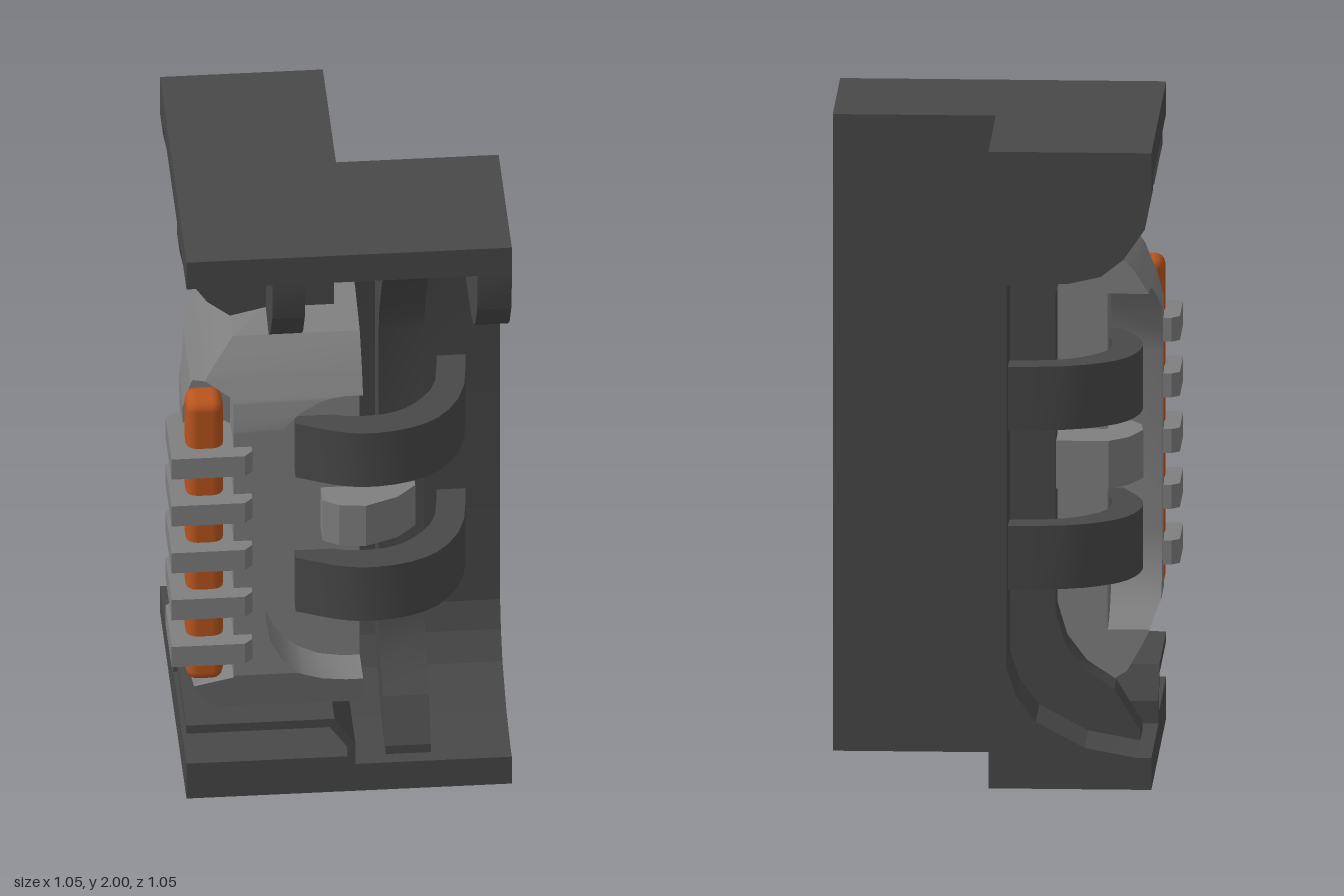
import * as THREE from 'three';
import { toCreasedNormals } from 'three/addons/utils/BufferGeometryUtils.js';
import { RoundedBoxGeometry } from 'three/addons/geometries/RoundedBoxGeometry.js';

const mat = (name, color) => {
  const m = new THREE.MeshStandardMaterial({ color });
  m.name = name;
  return m;
};

const shapeOf = (pts) => new THREE.Shape(pts.map(([a, b]) => new THREE.Vector2(a, b)));
const extrude = (pts, depth) => new THREE.ExtrudeGeometry(shapeOf(pts), { depth, bevelEnabled: false });

// profile of [z, y] points swept along x
const sweepX = (pts, x0, x1) =>
  extrude(pts.map(([z, y]) => [-z, y]), x1 - x0).rotateY(Math.PI / 2).translate(x0, 0, 0);
// plan of [x, z] points raised along y
const raiseY = (pts, y0, y1) =>
  extrude(pts.map(([x, z]) => [x, -z]), y1 - y0).rotateX(-Math.PI / 2).translate(0, y0, 0);

// reflection over the diagonal: (x, z) -> (-z, -x), with corner order restored
function mirrored(geo) {
  const g = geo.clone();
  const p = g.attributes.position;
  const v = new THREE.Vector3();
  const src = geo.attributes.position;
  for (let i = 0; i < p.count; i++) {
    const j = i % 3 === 0 ? i : i % 3 === 1 ? i + 1 : i - 1;
    v.fromBufferAttribute(src, j);
    p.setXYZ(i, -v.z, v.y, -v.x);
  }
  return g;
}

function interp(table, y) {
  for (let i = 1; i < table.length; i++) {
    const [y0, z0] = table[i - 1], [y1, z1] = table[i];
    if (y <= y1) return z0 + (z1 - z0) * Math.max(0, (y - y0) / (y1 - y0));
  }
  return table[table.length - 1][1];
}

// half of the corner body: plan cross-sections stacked up, with lamp notch and side recess
function bodyHalf() {
  const profile = [[0.24, 0.33], [0.27, 0.38], [0.36, 0.43], [0.45, 0.475], [1.36, 0.475],
    [1.45, 0.45], [1.53, 0.4], [1.61, 0.32], [1.65, 0.15], [1.651, 0.03]];
  const notch = [[0.39, 0.48], [0.44, 0.33], [1.46, 0.33], [1.52, 0.43], [1.53, 0.5]];
  const mid = 0.9275, half = 0.5275, r = 0.25, end = 0.07;
  const ys = [...profile.map((p) => p[0]), 0.40, 0.44, 1.46, 1.51];
  for (let k = 0; k <= 5; k++) {
    const d = half - r + r * Math.sin((k / 5) * Math.PI / 2) - 1e-5;
    ys.push(mid + d, mid - d);
  }
  ys.push(mid + half + 1e-5, mid - half - 1e-5);
  ys.sort((a, b) => a - b);
  const rows = ys.map((y) => {
    const z = interp(profile, y);
    const n = y < 0.39 || y > 1.53 ? z : Math.min(z, interp(notch, y));
    const off = Math.abs(y - mid);
    const inside = off < half;
    const d = Math.max(0, off - (half - r));
    const xr = inside ? -0.23 + r - Math.sqrt(Math.max(0, r * r - d * d)) : end;
    const zr = inside ? 0.32 : z;
    return [[-n, y, n], [-n, y, z], [xr, y, z], [xr, y, zr], [end, y, zr], [end, y, 0]];
  });
  const pos = [];
  for (let i = 0; i + 1 < rows.length; i++) {
    for (let j = 0; j < 5; j++) {
      const a = rows[i][j], b = rows[i][j + 1], c = rows[i + 1][j + 1], d = rows[i + 1][j];
      pos.push(...a, ...b, ...c, ...a, ...c, ...d);
    }
  }
  const g = new THREE.BufferGeometry();
  g.setAttribute('position', new THREE.Float32BufferAttribute(pos, 3));
  return g;
}

// wall arm with base, top slab and coves, mitred on the diagonal
function wallHalf() {
  const g = sweepX([[-0.025, 0], [0.475, 0], [0.475, 0.1], [0.43, 0.1], [0.27, 0.13], [0.12, 0.21],
    [0.06, 0.29], [0.03, 0.38], [0.03, 1.6], [0.06, 1.72], [0.13, 1.82], [0.25, 1.9],
    [0.475, 1.9], [0.475, 2], [-0.025, 2]], -0.5, 0.525);
  const p = g.attributes.position;
  for (let i = 0; i < p.count; i++) if (p.getX(i) < 0) p.setX(i, -p.getZ(i));
  return g;
}

export function createModel() {
  const model = new THREE.Group();
  model.name = 'cornerWallUnit';
  const dark = mat('dark metal', 0x484848);
  const grey = mat('grey metal', 0x7f7f7f);
  const orange = mat('orange lamp', 0xb9541e);

  const addOne = (name, geo, material) => {
    const mesh = new THREE.Mesh(geo, material);
    mesh.name = name;
    model.add(mesh);
  };
  const prep = (geo) => {
    const g = geo.index ? geo.toNonIndexed() : geo;
    g.deleteAttribute('normal');
    g.deleteAttribute('uv');
    g.clearGroups();
    return g;
  };
  // each part is made on the front arm and repeated on the side arm
  const addPair = (name, geo, material, crease = 0.4) => {
    const g = prep(geo);
    addOne(name + 'Front', toCreasedNormals(g, crease), material);
    addOne(name + 'Side', toCreasedNormals(mirrored(g), crease), material);
  };

  addPair('wall', wallHalf(), dark, 0.3);
  addPair('body', bodyHalf(), grey);

  // hanging brackets under the top slab
  const bracket = [[0, 1.92], [0, 1.58], [0.03, 1.58], [0.22, 1.587], [0.32, 1.61],
    [0.39, 1.665], [0.455, 1.76], [0.475, 1.86], [0.475, 1.92]];
  addPair('endBracket', sweepX(bracket, 0.42, 0.525), dark, 0.2);
  addPair('innerBracket', sweepX(bracket, -0.21, -0.11), dark, 0.2);

  // upright rib curving out at foot and head
  addPair('rib', sweepX([[0, 0.09], [0.43, 0.09], [0.43, 0.13], [0.35, 0.26], [0.26, 0.32],
    [0.2, 0.4], [0.17, 0.5], [0.17, 1.5], [0.2, 1.6], [0.27, 1.72], [0.4, 1.91], [0, 1.91]],
    0.14, 0.28), dark);

  // curved clamps reaching from the recess back to the wall
  const curve = (pts) => new THREE.SplineCurve(pts.map(([a, b]) => new THREE.Vector2(a, b)))
    .getPoints(14).map((v) => [v.x, v.y]);
  const clamp = [
    ...curve([[-0.13, 0.36], [0, 0.415], [0.1, 0.43], [0.22, 0.41], [0.32, 0.35], [0.395, 0.22], [0.42, 0.02]]),
    ...curve([[0.33, 0.02], [0.31, 0.18], [0.25, 0.27], [0.18, 0.32], [0.09, 0.335], [0, 0.325], [-0.13, 0.27]]),
  ];
  for (const y of [0.6, 1.1]) addPair('clamp', raiseY(clamp, y, y + 0.2), dark);

  // latch block between the clamps
  addPair('latch', raiseY([[-0.05, 0.1], [-0.05, 0.39], [0, 0.42], [0.08, 0.43], [0.18, 0.39],
    [0.24, 0.33], [0.24, 0.1]], 0.88, 1.03), grey);

  // folded foot cover, its floor plate and the core behind it
  const cover = [[-0.475, 0.272], [-0.02, 0.272], [0.045, 0.17], [0.045, 0.1], [0.02, 0.1],
    [0.02, 0.165], [-0.035, 0.242], [-0.475, 0.242]];
  addPair('footCover', extrude(cover, 0.325).translate(0, 0, 0.15), dark);
  addPair('footPlate', new THREE.BoxGeometry(0.52, 0.05, 0.325).translate(-0.215, 0.105, 0.3125), dark);
  addPair('footCore', new THREE.BoxGeometry(0.32, 0.17, 0.3).translate(-0.14, 0.175, 0.15), dark);

  // corner lamp with guard rings
  addOne('lamp', new RoundedBoxGeometry(0.115, 1.04, 0.115, 2, 0.035).translate(-0.4175, 0.95, 0.4175), orange);
  const ring = [[-0.525, 0.525], [-0.3, 0.525], [-0.275, 0.5], [-0.275, 0.4], [-0.4, 0.275],
    [-0.5, 0.275], [-0.525, 0.3]];
  for (let i = 0; i < 5; i++) {
    const y = 0.565 + i * 0.175;
    addOne('lampGuard', toCreasedNormals(prep(raiseY(ring, y - 0.0375, y + 0.0375)), 0.3), grey);
  }
  return model;
}
